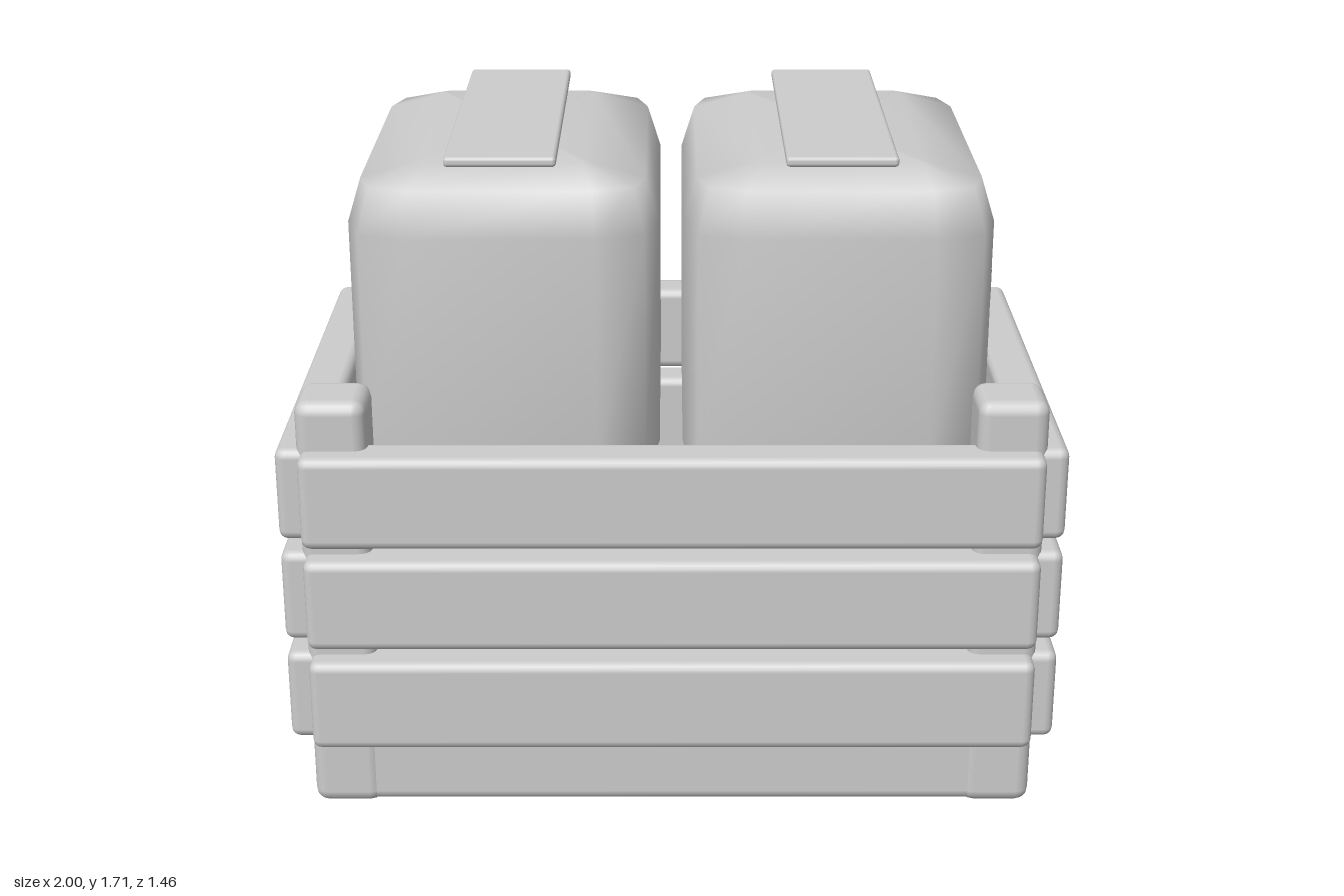
import * as THREE from 'three';
import { RoundedBoxGeometry } from 'three/addons/geometries/RoundedBoxGeometry.js';

const lightGrey = new THREE.MeshStandardMaterial({ color: 0xcccccc });
lightGrey.name = 'light grey';

// Rounded box given by its minimum and maximum corners
function block(name, min, max, radius) {
  const size = max.map((v, i) => v - min[i]);
  const mesh = new THREE.Mesh(new RoundedBoxGeometry(...size, 2, radius), lightGrey);
  mesh.position.set(...max.map((v, i) => (v + min[i]) / 2));
  mesh.name = name;
  return mesh;
}

// Soft container lofted through twelve-sided rounded rectangles
function containerGeometry() {
  const halfX = 0.395, halfZ = 0.535;
  // [height, inset x, inset z, corner size]
  const levels = [
    [0.77, 0.185, 0.155, 0.02], [0.81, 0.035, 0.04, 0.13], [0.92, 0, 0, 0.16],
    [1.52, 0, 0, 0.16], [1.633, 0.035, 0.04, 0.13], [1.675, 0.185, 0.155, 0.02],
  ];
  const points = [], index = [], n = 12;
  for (const [y, insetX, insetZ, c] of levels) {
    const w = halfX - insetX, d = halfZ - insetZ;
    const corner = [[w, d - c], [w - c * 0.23, d - c * 0.23], [w - c, d]];
    for (const [sx, sz] of [[1, 1], [-1, 1], [-1, -1], [1, -1]]) {
      const ordered = sx * sz > 0 ? corner : [...corner].reverse();
      for (const [x, z] of ordered) points.push(x * sx, y, z * sz);
    }
  }
  for (let r = 0; r < levels.length - 1; r++) {
    for (let i = 0; i < n; i++) {
      const a = r * n + i, b = r * n + (i + 1) % n;
      index.push(a, a + n, b, b, a + n, b + n);
    }
  }
  // Caps
  const bottom = points.length / 3, top = bottom + 1, last = (levels.length - 1) * n;
  points.push(0, levels[0][0], 0, 0, levels[levels.length - 1][0], 0);
  for (let i = 0; i < n; i++) {
    const j = (i + 1) % n;
    index.push(bottom, i, j, top, last + j, last + i);
  }
  const geometry = new THREE.BufferGeometry();
  geometry.setAttribute('position', new THREE.Float32BufferAttribute(points, 3));
  geometry.setIndex(index);
  geometry.computeVertexNormals();
  return geometry;
}

export function createModel() {
  const model = new THREE.Group();
  model.name = 'crateWithContainers';

  // Crate floor
  model.add(block('crateBase', [-0.935, 0.005, -0.665], [0.935, 0.21, 0.665], 0.03));

  // Corner posts
  for (const x of [-0.855, 0.855]) {
    for (const z of [-0.58, 0.58]) {
      model.add(block('cornerPost', [x - 0.09, 0, z - 0.09], [x + 0.09, 1.135, z + 0.09], 0.035));
    }
  }

  // Three rows of slats on all four sides
  for (const y of [0.193, 0.478, 0.76]) {
    const top = y + 0.248;
    model.add(
      block('frontSlat', [-0.935, y, 0.605], [0.935, top, 0.73], 0.025),
      block('backSlat', [-0.935, y, -0.73], [0.935, top, -0.605], 0.025),
      block('leftSlat', [0.875, y, -0.665], [1, top, 0.665], 0.025),
      block('rightSlat', [-1, y, -0.665], [-0.875, top, 0.665], 0.025),
    );
  }

  // Two containers, each with a flat strip above it
  const geometry = containerGeometry();
  for (const x of [-0.427, 0.423]) {
    const container = new THREE.Mesh(geometry, lightGrey);
    container.name = 'container';
    container.position.x = x;
    model.add(container);
    model.add(block('topStrip', [x - 0.14, 1.688, -0.48], [x + 0.14, 1.714, 0.48], 0.01));
  }
  return model;
}
